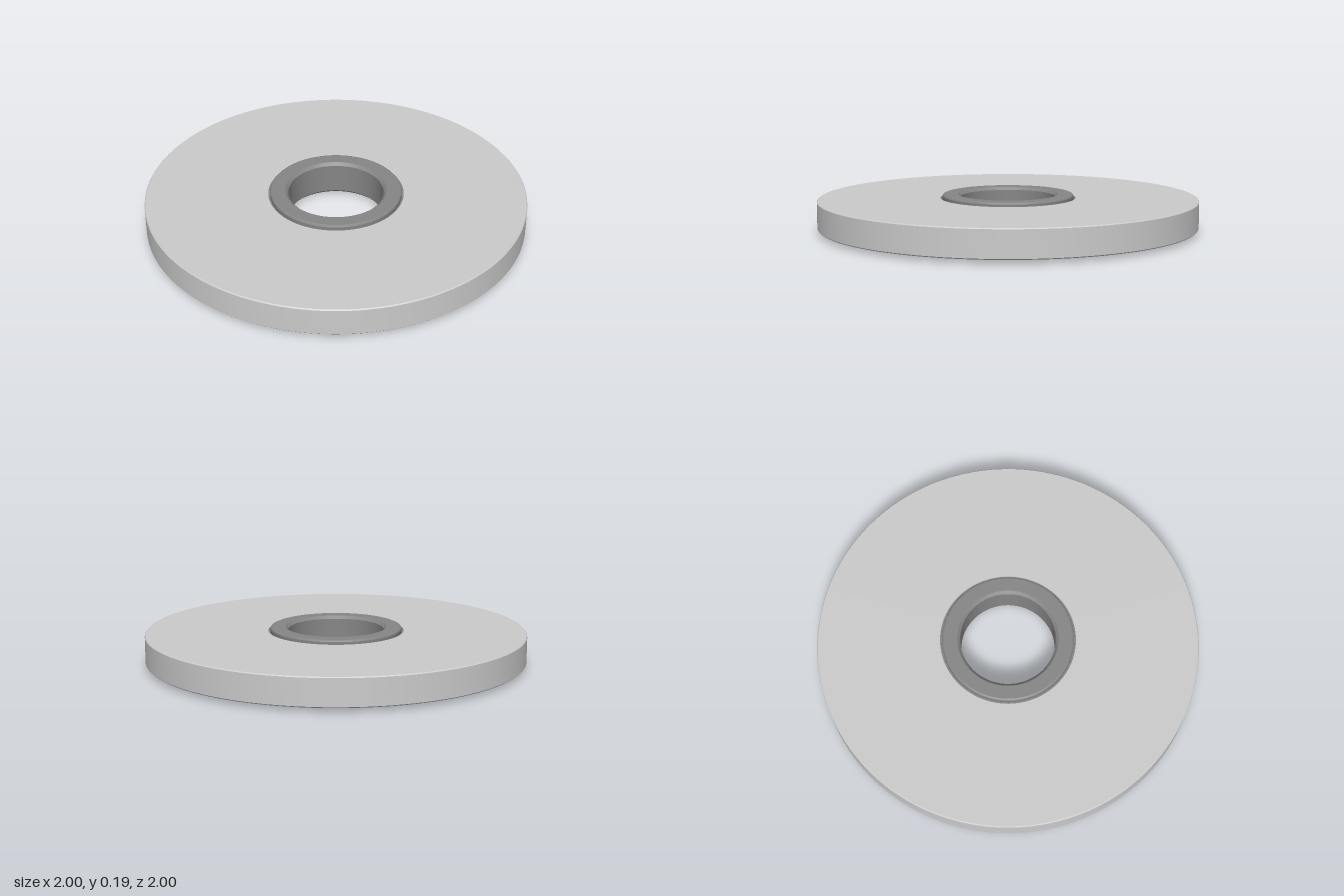
import * as THREE from 'three';
import { toCreasedNormals } from 'three/addons/utils/BufferGeometryUtils.js';

const HEIGHT = 0.187;

// Ring turned from the upper half of its section (outside to inside), mirrored below.
function turnedRing(name, upper, color) {
  const mid = HEIGHT / 2;
  const top = upper.map(([r, y]) => new THREE.Vector2(r, y));
  const bottom = upper.map(([r, y]) => new THREE.Vector2(r, 2 * mid - y)).reverse();
  const profile = [...top, ...bottom, top[0].clone()];
  const geometry = toCreasedNormals(new THREE.LatheGeometry(profile, 128), 0.4);
  const mesh = new THREE.Mesh(geometry, new THREE.MeshStandardMaterial({ color }));
  mesh.name = name;
  return mesh;
}

export function createModel() {
  const group = new THREE.Group();
  group.name = 'wheel';

  // Flat disc with a fine bevel on the rim
  group.add(turnedRing('disc', [
    [1, 0.162], [0.995, 0.167], [0.356, 0.167],
  ], 0xcccccc));

  // Bushing: shallow groove next to the disc, bevelled raised flange, bevelled bore
  group.add(turnedRing('bushing', [
    [0.356, 0.157], [0.345, 0.157], [0.345, 0.178], [0.342, 0.184],
    [0.335, HEIGHT], [0.265, HEIGHT], [0.25, 0.172],
  ], 0x868686));

  return group;
}
